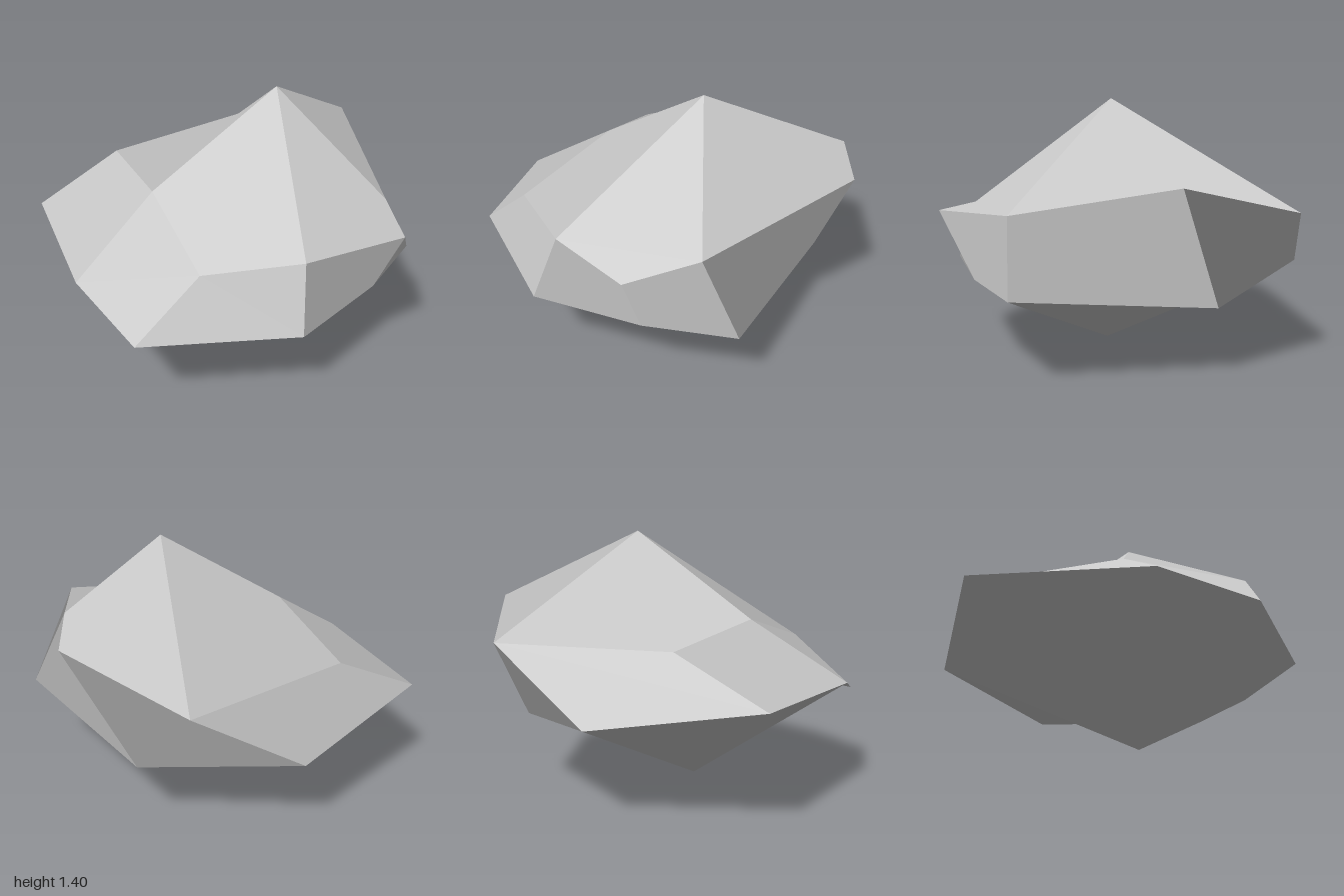
import * as THREE from 'three';

// Corners of the stone
const corners = {
  A: [0.285, 1.4, 0.015],                                   // peak
  B: [0.337, 0.85, -0.975], C: [0.873, 1.028, -0.495],      // upper rim, back
  D: [0.8, 0.85, 0.388], E: [0.73, 0.85, 0.788],            // upper rim, left
  F: [0.2, 0.81, 0.843], G: [-0.305, 0.775, 0.774],         // upper rim, front
  T: [-0.425, 0.93, 0.158], S: [-0.525, 0.848, -0.582],     // shoulder, right
  H: [-0.645, 0.48, 0.863], I: [0.16, 0.48, 0.975],         // waist, front
  K: [0.655, 0.48, 0.643], J: [1.0, 0.48, 0.307],           // waist, left
  L: [0.54, 0.393, -0.608], M: [-0.245, 0.48, -0.912],      // waist, back
  Q: [-1.0, 0.607, -0.467], R: [-0.873, 0.6, 0.425],        // waist, right
  P: [-0.04, 0, 0.14],                                      // foot
};

// Four-cornered facets, each folded along its first-to-third diagonal
const parts = {
  crown: ['BSTA', 'ADCB', 'FEDA', 'ATGF'],
  sides: ['RTSQ', 'RHGT', 'GHIF', 'FIKE', 'EKJD', 'DJLC', 'LMBC', 'BMQS'],
  underside: ['IHRP', 'PJKI', 'JLMP', 'PMQR'],
};

const centre = new THREE.Vector3(0, 0.65, 0);

function facetGeometry(facets) {
  const positions = [], normals = [];
  for (const facet of facets) {
    let pts = [...facet].map((name) => new THREE.Vector3(...corners[name]));
    const facing = () => pts[2].clone().sub(pts[0]).cross(pts[3].clone().sub(pts[1])).normalize();
    const middle = pts.reduce((sum, p) => sum.addScaledVector(p, 0.25), new THREE.Vector3());
    // Turn the corner order outward, keeping the same fold
    if (facing().dot(middle.sub(centre)) < 0) pts = [pts[0], pts[3], pts[2], pts[1]];
    const normal = facing();
    for (const i of [0, 1, 2, 0, 2, 3]) {
      positions.push(...pts[i].toArray());
      normals.push(...normal.toArray()); // one flat tone per facet
    }
  }
  const geometry = new THREE.BufferGeometry();
  geometry.setAttribute('position', new THREE.Float32BufferAttribute(positions, 3));
  geometry.setAttribute('normal', new THREE.Float32BufferAttribute(normals, 3));
  return geometry;
}

export function createModel() {
  const stone = new THREE.MeshStandardMaterial({ color: 0xc8c8c8 });
  stone.name = 'grey stone';
  const group = new THREE.Group();
  group.name = 'boulder';
  for (const [name, facets] of Object.entries(parts)) {
    const mesh = new THREE.Mesh(facetGeometry(facets), stone);
    mesh.name = name;
    group.add(mesh);
  }
  return group;
}
